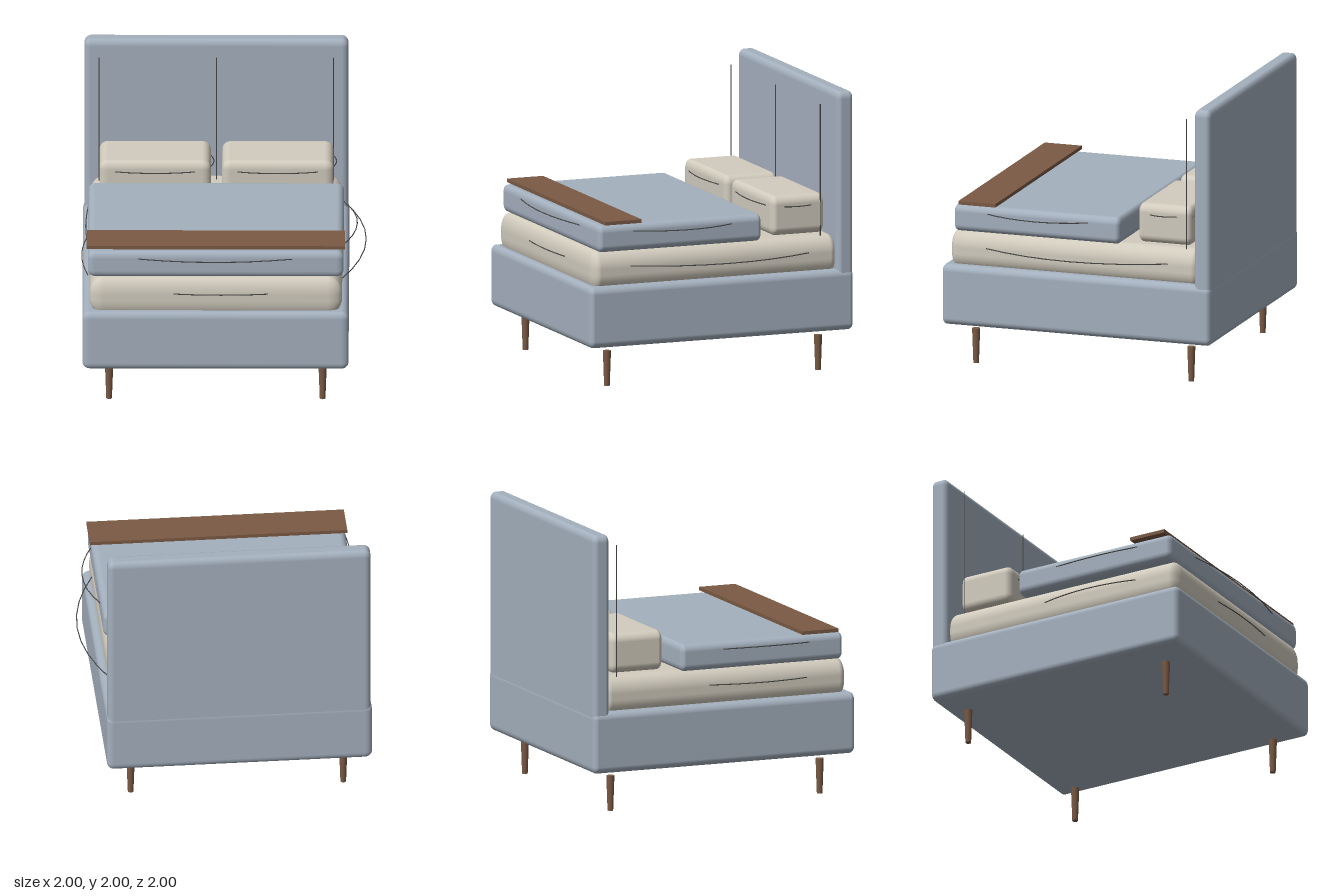
import * as THREE from 'three';
import { RoundedBoxGeometry } from 'three/addons/geometries/RoundedBoxGeometry.js';

const mat = (color) => new THREE.MeshStandardMaterial({ color });

export function createModel() {
  const bed = new THREE.Group();
  bed.name = 'bed';
  const fabric = mat(0xa4b0be), linen = mat(0xd2ccbe), wood = mat(0x7a5a44), seam = mat(0x4a4b48);
  const cx = -0.055; // centre line of the bed

  const add = (name, geometry, material) => {
    const mesh = new THREE.Mesh(geometry, material);
    mesh.name = name;
    bed.add(mesh);
    return mesh;
  };

  // Soft box given by its limits, with a separate edge radius along each axis
  const softBox = (name, [x0, x1], [y0, y1], [z0, z1], [rx, ry, rz], material) => {
    const g = new RoundedBoxGeometry((x1 - x0) / rx, (y1 - y0) / ry, (z1 - z0) / rz, 5, 1);
    g.scale(rx, ry, rz);
    g.translate((x0 + x1) / 2, (y0 + y1) / 2, (z0 + z1) / 2);
    return add(name, g, material);
  };

  // Thin thread bowing sideways from a to b through a middle point
  const thread = (name, a, mid, b) => {
    const v = (p) => new THREE.Vector3(...p);
    const control = v(mid).multiplyScalar(2).sub(v(a).add(v(b)).multiplyScalar(0.5));
    const curve = new THREE.QuadraticBezierCurve3(v(a), control, v(b));
    add(name, new THREE.TubeGeometry(curve, 8, 0.004, 5), seam);
  };

  // Upholstered frame
  softBox('base', [-0.99, 0.875], [0.3, 0.735], [-1, 1], [0.05, 0.05, 0.035], fabric);
  softBox('headboard', [-0.98, 0.868], [0.65, 2], [-0.998, -0.875], [0.045, 0.05, 0.035], fabric);
  for (const x of [-0.88, cx, 0.763]) {
    const line = add('headboardSeam', new THREE.CylinderGeometry(0.004, 0.004, 0.94, 6), seam);
    line.position.set(x, 1.435, -0.785);
  }

  // Bedding
  softBox('mattress', [-0.94, 0.83], [0.69, 0.975], [-0.9, 0.96], [0.1, 0.12, 0.06], linen);
  softBox('duvet', [-0.952, 0.84], [0.973, 1.165], [-0.315, 0.922], [0.05, 0.05, 0.033], fabric);
  const blanket = add('throwBlanket', new THREE.BoxGeometry(1.81, 0.025, 0.275), wood);
  blanket.position.set(cx, 1.184, 0.742);

  // Pillows with their edge folds
  for (const x of [-0.485, 0.375]) {
    softBox('pillow', [x - 0.39, x + 0.39], [0.985, 1.267], [-0.822, -0.42], [0.06, 0.06, 0.04], linen);
    thread('pillowFold', [x - 0.28, 1.192, -0.42], [x, 1.192, -0.392], [x + 0.28, 1.192, -0.42]);
    thread('pillowFold', [x, 1.192, -0.815], [x + 0.18, 1.192, -0.828], [x + 0.36, 1.192, -0.815]);
    thread('pillowFold', [x + 0.38, 1.192, -0.73], [x + 0.412, 1.192, -0.61], [x + 0.38, 1.192, -0.5]);
  }

  // Folds along the mattress and duvet
  thread('mattressFold', [-0.35, 0.865, 0.96], [-0.02, 0.865, 0.98], [0.31, 0.865, 0.96]);
  thread('mattressFold', [0.83, 0.865, -0.67], [0.996, 0.865, 0.0], [0.83, 0.865, 0.68]);
  thread('mattressFold', [-0.94, 0.865, -0.1], [-0.996, 0.865, 0.27], [-0.95, 0.865, 0.64]);
  thread('duvetFold', [-0.6, 1.115, 0.92], [-0.06, 1.115, 0.978], [0.48, 1.115, 0.92]);
  thread('duvetFold', [0.84, 1.115, -0.08], [0.935, 1.115, 0.29], [0.83, 1.115, 0.68]);
  thread('duvetFold', [-0.95, 1.115, 0.0], [-0.968, 1.115, 0.35], [-0.95, 1.115, 0.66]);

  // Tapered legs
  for (const sx of [-1, 1]) {
    for (const z of [-0.797, 0.803]) {
      const leg = add('leg', new THREE.CylinderGeometry(0.029, 0.02, 0.25, 12), wood);
      leg.position.set(cx + sx * 0.748, 0.125, z);
    }
  }
  return bed;
}
